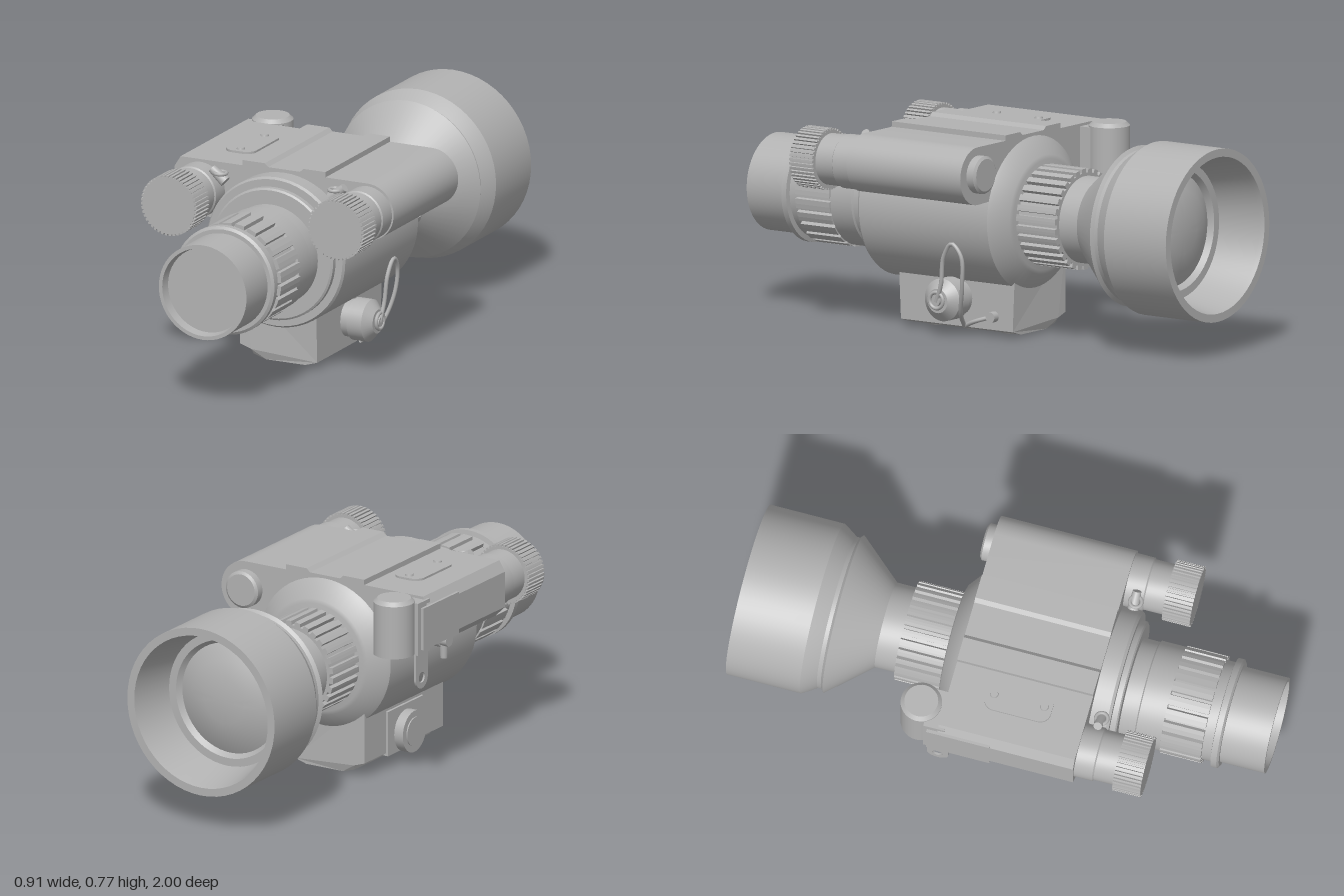
import * as THREE from 'three';
import { toCreasedNormals } from 'three/addons/utils/BufferGeometryUtils.js';

const AXIS = 0.45; // height of the optical axis

export function createModel() {
  const grey = new THREE.MeshStandardMaterial({ color: 0xb2b2b2, side: THREE.DoubleSide });
  grey.name = 'plain grey';
  const root = new THREE.Group();
  root.name = 'nightScope';

  const add = (name, geo, x = 0, y = 0, z = 0) => {
    const mesh = new THREE.Mesh(geo, grey);
    mesh.name = name;
    mesh.position.set(x, y, z);
    root.add(mesh);
    return mesh;
  };
  // Turned part: profile of [radius, z] pairs around the z axis
  const turned = (name, profile, x = 0, y = AXIS, seg = 56) => {
    const g = new THREE.LatheGeometry(profile.map(([r, z]) => new THREE.Vector2(r, z)), seg);
    g.rotateX(Math.PI / 2);
    return add(name, toCreasedNormals(g, 0.4), x, y, 0);
  };
  const cyl = (name, axis, r1, r2, len, x, y, z, seg = 32) => {
    const g = new THREE.CylinderGeometry(r1, r2, len, seg);
    if (axis === 'x') g.rotateZ(-Math.PI / 2);
    if (axis === 'z') g.rotateX(Math.PI / 2);
    return add(name, g, x, y, z);
  };
  const box = (name, w, h, d, x, y, z) => add(name, new THREE.BoxGeometry(w, h, d), x, y, z);
  const extrude = (shape, depth) =>
    new THREE.ExtrudeGeometry(shape, { depth, bevelEnabled: false, curveSegments: 12 });
  // Ribbed grip ring from z0 to z1
  const grip = (name, rOut, rIn, ribs, duty, x, y, z0, z1) => {
    const pts = [];
    const step = (Math.PI * 2) / ribs;
    for (let i = 0; i < ribs; i++) {
      for (const [f, r] of [[0, rIn], [0.05, rOut], [duty / 2, rOut], [duty, rOut], [duty + 0.05, rIn]]) {
        const a = (i + f) * step;
        pts.push(new THREE.Vector2(Math.cos(a) * r, Math.sin(a) * r));
      }
    }
    return add(name, extrude(new THREE.Shape(pts), z1 - z0), x, y, z0);
  };

  // Objective bell with recessed, slightly domed lens
  turned('objectiveLens', [[0, -0.85], [0.085, -0.845], [0.15, -0.83], [0.21, -0.8]]);
  turned('objectiveBell', [
    [0.21, -0.8], [0.225, -0.82], [0.255, -0.82], [0.285, -0.98], [0.29, -1], [0.32, -1], [0.32, -0.72],
    [0.305, -0.695], [0.285, -0.665], [0.285, -0.65], [0.297, -0.64], [0.16, -0.48], [0.16, -0.39],
  ]);
  grip('focusRing', 0.187, 0.172, 30, 0.62, 0, AXIS, -0.4, -0.22);

  // Main tube with chamfered rear and stepped front
  turned('mainTube', [
    [0, -0.225], [0.205, -0.225], [0.22, -0.22], [0.275, -0.175], [0.285, -0.165], [0.285, 0.415],
    [0.278, 0.425], [0.25, 0.425], [0.25, 0.445], [0.243, 0.45], [0, 0.45],
  ]);

  // Eyepiece
  turned('eyepieceBase', [[0.19, 0.45], [0.19, 0.51], [0.196, 0.515], [0.196, 0.61], [0.18, 0.615]]);
  grip('eyepieceRing', 0.202, 0.187, 24, 0.75, 0, AXIS, 0.61, 0.765);
  turned('eyepieceTube', [
    [0.187, 0.765], [0.187, 0.8], [0.205, 0.803], [0.205, 0.825], [0.195, 0.832], [0.18, 0.832],
    [0.18, 1], [0.166, 1], [0.16, 0.965],
  ]);
  turned('eyepieceLens', [[0.16, 0.965], [0, 0.965]]);

  // Upper housing: raised rails with a central trough, wrapping into two side tubes
  const h = new THREE.Shape();
  h.moveTo(-0.065, 0.747);
  h.lineTo(0.065, 0.747);
  h.lineTo(0.08, 0.76);
  h.lineTo(0.17, 0.76);
  h.lineTo(0.17, 0.74);
  h.lineTo(0.343, 0.74);
  h.absarc(0.343, 0.633, 0.107, Math.PI / 2, -Math.PI / 2, true);
  h.lineTo(0.25, 0.53);
  h.lineTo(0.2, 0.6);
  h.lineTo(-0.2, 0.6);
  h.lineTo(-0.25, 0.525);
  h.lineTo(-0.41, 0.525);
  h.lineTo(-0.45, 0.565);
  h.lineTo(-0.45, 0.7);
  h.lineTo(-0.425, 0.74);
  h.lineTo(-0.17, 0.74);
  h.lineTo(-0.17, 0.76);
  h.lineTo(-0.08, 0.76);
  add('upperHousing', toCreasedNormals(extrude(h, 0.515), 0.4), 0, 0, -0.165);

  for (const s of [-1, 1]) {
    const side = s > 0 ? 'left' : 'right';
    // Battery tubes, knurled caps and small tether bosses
    turned(side + 'TubeNeck', [[0.1, 0.34], [0.1, 0.42], [0.095, 0.425], [0.095, 0.51]], s * 0.343, 0.63, 40);
    grip(side + 'TubeCap', 0.114, 0.107, 44, 0.6, s * 0.343, 0.629, 0.5, 0.605);
    const boss = cyl(side + 'TetherBoss', 'y', 0.016, 0.022, 0.07, s * 0.245, 0.705, 0.395, 16);
    boss.rotation.z = -s * 0.9;
    add(side + 'TetherRing', new THREE.TorusGeometry(0.022, 0.007, 8, 20), s * 0.235, 0.715, 0.4).rotation.x = Math.PI / 2;
  }
  turned('leftTubeEnd', [[0, -0.202], [0.06, -0.202], [0.07, -0.195], [0.07, -0.16]], 0.342, 0.64, 32);

  // Upright cell and its bracket behind the right tube
  cyl('uprightCell', 'y', 0.076, 0.076, 0.2, -0.355, 0.635, -0.25);
  cyl('uprightCellTop', 'y', 0.062, 0.076, 0.014, -0.355, 0.742, -0.25);
  box('uprightBracket', 0.15, 0.2, 0.08, -0.365, 0.63, -0.18);
  box('bracketFlange', 0.012, 0.16, 0.24, -0.448, 0.63, -0.085);

  // Cover plate with two screws
  const p = new THREE.Shape();
  p.absarc(-0.28, 0.01, 0.04, Math.PI, Math.PI * 1.5);
  p.absarc(-0.24, 0.01, 0.04, Math.PI * 1.5, Math.PI * 2);
  p.absarc(-0.24, 0.18, 0.04, 0, Math.PI / 2);
  p.absarc(-0.28, 0.18, 0.04, Math.PI / 2, Math.PI);
  const plate = extrude(p, 0.008);
  plate.rotateX(Math.PI / 2);
  add('coverPlate', plate, 0, 0.748, 0);
  for (const z of [0, 0.19]) cyl('coverScrew', 'y', 0.014, 0.016, 0.008, -0.26, 0.751, z, 16);

  // Strap tab with eyelet, side switch
  const tab = new THREE.Shape();
  tab.moveTo(-0.04, 0.53);
  tab.lineTo(-0.04, 0.43);
  tab.absarc(0, 0.43, 0.04, Math.PI, Math.PI * 2);
  tab.lineTo(0.04, 0.53);
  const hole = new THREE.Path();
  hole.absarc(0, 0.432, 0.02, 0, Math.PI * 2);
  tab.holes.push(hole);
  const tabGeo = extrude(tab, 0.008);
  tabGeo.rotateY(Math.PI / 2);
  add('strapTab', tabGeo, -0.424, 0, -0.17);
  cyl('switchShaft', 'x', 0.03, 0.03, 0.08, -0.3, 0.49, 0.1, 20);
  cyl('switchHub', 'x', 0.024, 0.024, 0.05, -0.345, 0.49, 0.1, 20);
  cyl('switchLever', 'y', 0.018, 0.013, 0.09, -0.345, 0.465, 0.1, 16);

  // Lower box: chamfered cross-section with sloped ends near the floor
  const b = new THREE.Shape([
    [-0.18, 0.3], [-0.18, 0.06], [-0.135, 0.045], [-0.13, 0.025], [-0.08, 0.01],
    [0.08, 0.01], [0.13, 0.025], [0.13, 0.3],
  ].map(([x, y]) => new THREE.Vector2(x, y)));
  const bg = extrude(b, 0.53);
  const bp = bg.attributes.position;
  for (let i = 0; i < bp.count; i++) {
    if (bp.getY(i) < 0.04) bp.setZ(i, 0.265 + (bp.getZ(i) - 0.265) * 0.955);
  }
  bg.computeVertexNormals();
  add('lowerBox', bg, 0, 0, -0.18);
  for (const z of [0.25, 0.085, -0.08]) {
    cyl('footPad', 'y', 0.06, 0.05, 0.014, 0, 0.007, z, 28);
  }

  // Side knobs on the lower box
  cyl('rightKnob', 'x', 0.079, 0.079, 0.055, -0.2, 0.12, 0.085, 36);
  cyl('rightKnobFace', 'x', 0.055, 0.055, 0.008, -0.228, 0.12, 0.085, 36);
  box('rightKnobPlate', 0.02, 0.17, 0.24, -0.18, 0.135, 0.085);
  cyl('leftKnobCollar', 'x', 0.07, 0.07, 0.04, 0.145, 0.132, 0.085);
  cyl('leftKnob', 'x', 0.079, 0.079, 0.06, 0.19, 0.132, 0.085, 36);
  cyl('leftKnobCone', 'x', 0.045, 0.079, 0.03, 0.235, 0.132, 0.085, 36);
  cyl('leftKnobTip', 'x', 0.018, 0.018, 0.016, 0.254, 0.132, 0.085, 16);

  // Tether cord looping from the knob to the box wall
  const cord = new THREE.CatmullRomCurve3([
    [0.257, 0.13, 0.085], [0.262, 0.2, 0.06], [0.268, 0.3, 0.045], [0.272, 0.355, 0.005],
    [0.268, 0.31, -0.035], [0.255, 0.2, -0.03], [0.215, 0.09, 0.005], [0.15, 0.03, 0.035],
  ].map((v) => new THREE.Vector3(...v)));
  add('tetherCord', new THREE.TubeGeometry(cord, 48, 0.008, 8));
  add('tetherLoop', new THREE.TorusGeometry(0.03, 0.007, 8, 24), 0.257, 0.135, 0.085).rotation.y = Math.PI / 2;
  const link = new THREE.CatmullRomCurve3([
    new THREE.Vector3(0.15, 0.03, 0.035), new THREE.Vector3(0.165, 0.055, -0.02), new THREE.Vector3(0.145, 0.075, -0.08),
  ]);
  add('tetherLink', new THREE.TubeGeometry(link, 16, 0.008, 8));
  cyl('tetherAnchor', 'x', 0.02, 0.02, 0.035, 0.14, 0.075, -0.085, 16);

  return root;
}
